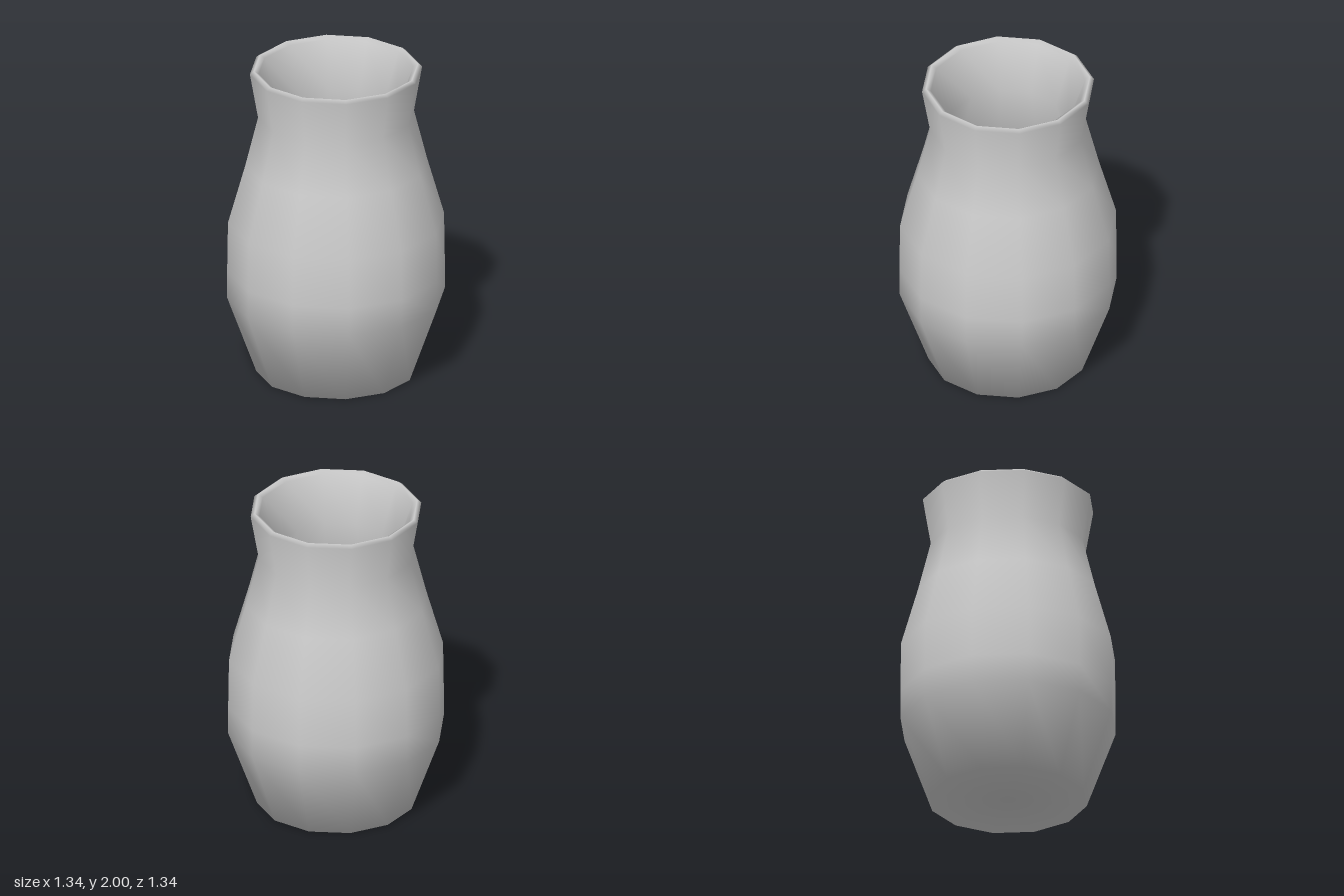
import * as THREE from 'three';

export function createModel() {
  const group = new THREE.Group();
  group.name = 'vase';

  // One closed profile: base centre, outer wall, rim, inner wall, inner floor
  const profile = [
    [0, 0], [0.49, 0],
    [0.67, 0.5], [0.67, 0.68], [0.665, 1.0], [0.56, 1.37], [0.48, 1.69],
    [0.53, 1.98], [0.505, 2.0], [0.475, 1.98],
    [0.37, 1.69], [0.45, 1.37], [0.55, 1.0], [0.56, 0.52], [0.4, 0.1],
    [0, 0.1],
  ].map(([r, y]) => new THREE.Vector2(r, y));

  // Twelve-sided vessel with smooth normals
  const vessel = new THREE.Mesh(
    new THREE.LatheGeometry(profile, 12),
    new THREE.MeshStandardMaterial({ color: 0xcccccc })
  );
  vessel.name = 'vessel';
  group.add(vessel);
  return group;
}
